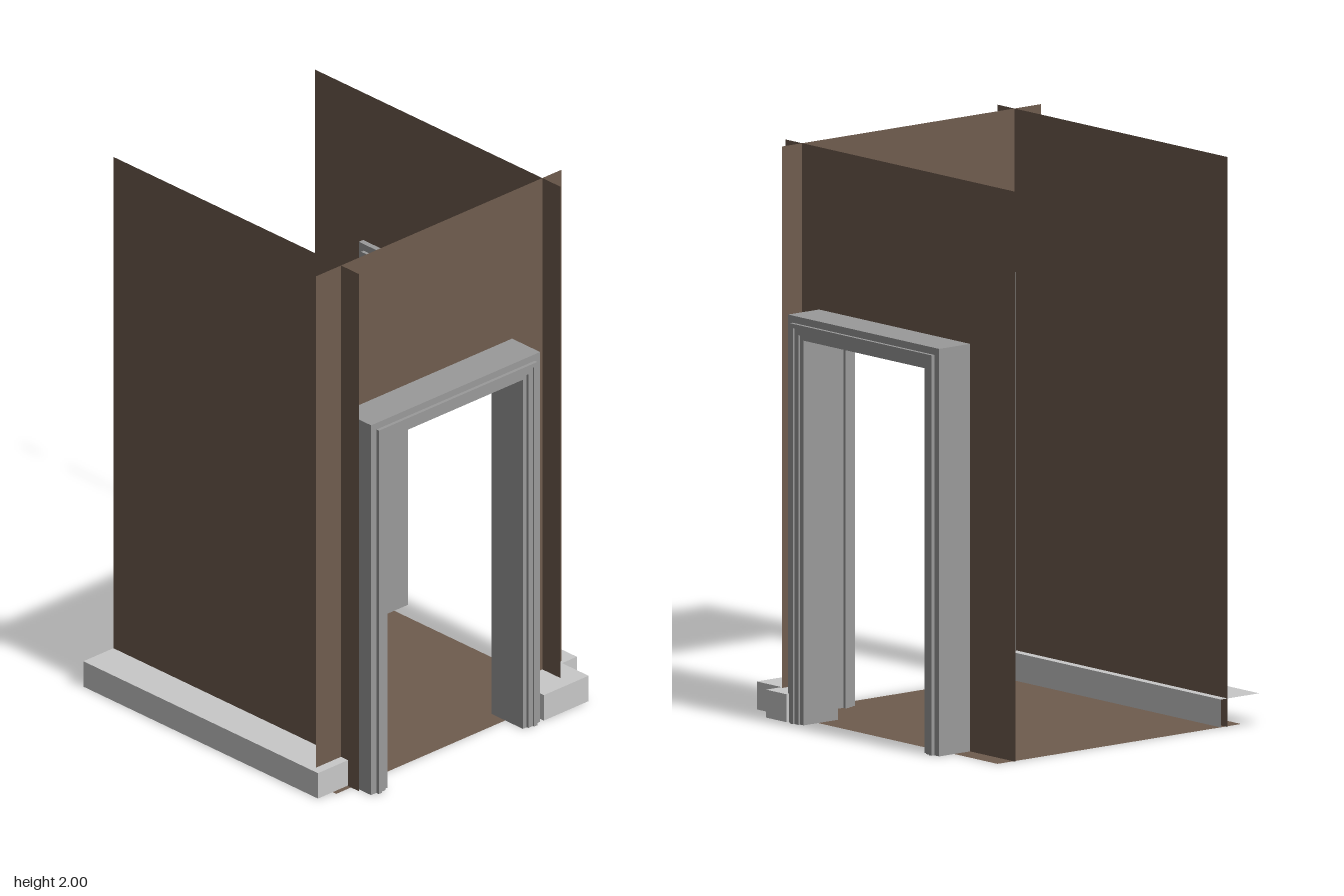
import * as THREE from 'three';

const brown = new THREE.MeshStandardMaterial({ color: 0x6f5c4e, side: THREE.DoubleSide });
brown.name = 'brown wall';
const grey = new THREE.MeshStandardMaterial({ color: 0x9a9a9a });
grey.name = 'grey frame';
const pale = new THREE.MeshStandardMaterial({ color: 0xc8c8c8 });
pale.name = 'pale skirting';

const polygon = (points) => new THREE.Shape(points.map(([x, y]) => new THREE.Vector2(x, y)));

// Upright rectangle with a doorway notched out of its bottom edge
const archShape = (x0, x1, top, d0, d1, doorTop) => polygon([
  [x0, 0], [d0, 0], [d0, doorTop], [d1, doorTop], [d1, 0], [x1, 0], [x1, top], [x0, top],
]);

function addMesh(parent, name, geometry, material, x = 0, y = 0, z = 0) {
  const mesh = new THREE.Mesh(geometry, material);
  mesh.name = name;
  mesh.position.set(x, y, z);
  parent.add(mesh);
  return mesh;
}

// Stepped door frame: nested bands, each with its own depth
function doorFrame(name) {
  const frame = new THREE.Group();
  frame.name = name;
  const insets = [0, 0.025, 0.04, 0.062, 0.08];
  const depths = [0.16, 0.185, 0.172, 0.156];
  const halfWidth = 0.402, height = 1.43;
  depths.forEach((depth, i) => {
    const a = insets[i], b = insets[i + 1];
    const shape = archShape(a - halfWidth, halfWidth - a, height - a, b - halfWidth, halfWidth - b, height - b);
    const geometry = new THREE.ExtrudeGeometry(shape, { depth, bevelEnabled: false });
    geometry.translate(0, 0, -depth / 2);
    addMesh(frame, 'frameBand' + (i + 1), geometry, grey);
  });
  return frame;
}

export function createModel() {
  const room = new THREE.Group();
  room.name = 'roomCorner';

  // Floor
  const floor = new THREE.PlaneGeometry(1.175, 1.1).rotateX(-Math.PI / 2);
  addMesh(room, 'floor', floor, brown, -0.0475, 0, 0);

  // Walls: thin sheets that cross at the corners
  addMesh(room, 'frontWall', new THREE.PlaneGeometry(1.225, 2), brown, -0.0325, 1, 0.48);
  const backShape = archShape(-0.645, 0.58, 2, -0.36, 0.36, 1.39);
  addMesh(room, 'backWall', new THREE.ShapeGeometry(backShape), brown, 0, 0, -0.478);
  const sideShape = archShape(-0.6, 0.57, 2, -0.428, 0.292, 1.39);
  addMesh(room, 'sideWall', new THREE.ShapeGeometry(sideShape), brown, 0.49, 0, 0).rotation.y = Math.PI / 2;

  // Door frames
  const backFrame = doorFrame('backDoorFrame');
  backFrame.position.set(-0.002, 0, -0.5375);
  const sideFrame = doorFrame('sideDoorFrame');
  sideFrame.position.set(0.55, 0, 0.068);
  sideFrame.rotation.y = Math.PI / 2;
  room.add(backFrame, sideFrame);

  // Front skirting, open at its -x end
  const skirting = new THREE.BoxGeometry(1.17, 0.098, 0.173);
  const index = Array.from(skirting.index.array);
  index.splice(6, 6);
  skirting.setIndex(index);
  skirting.clearGroups();
  addMesh(room, 'frontSkirting', skirting, pale, -0.06, 0.051, 0.5365);

  // Stepped skirting around the back corner
  const corner = polygon([
    [0.395, 0.63], [0.395, 0.455], [0.465, 0.455], [0.465, 0.347],
    [0.635, 0.347], [0.635, 0.56], [0.503, 0.56], [0.503, 0.63],
  ]);
  const cornerGeometry = new THREE.ExtrudeGeometry(corner, { depth: 0.098, bevelEnabled: false });
  cornerGeometry.rotateX(-Math.PI / 2);
  addMesh(room, 'cornerSkirting', cornerGeometry, pale, 0, 0.002, 0);

  return room;
}
